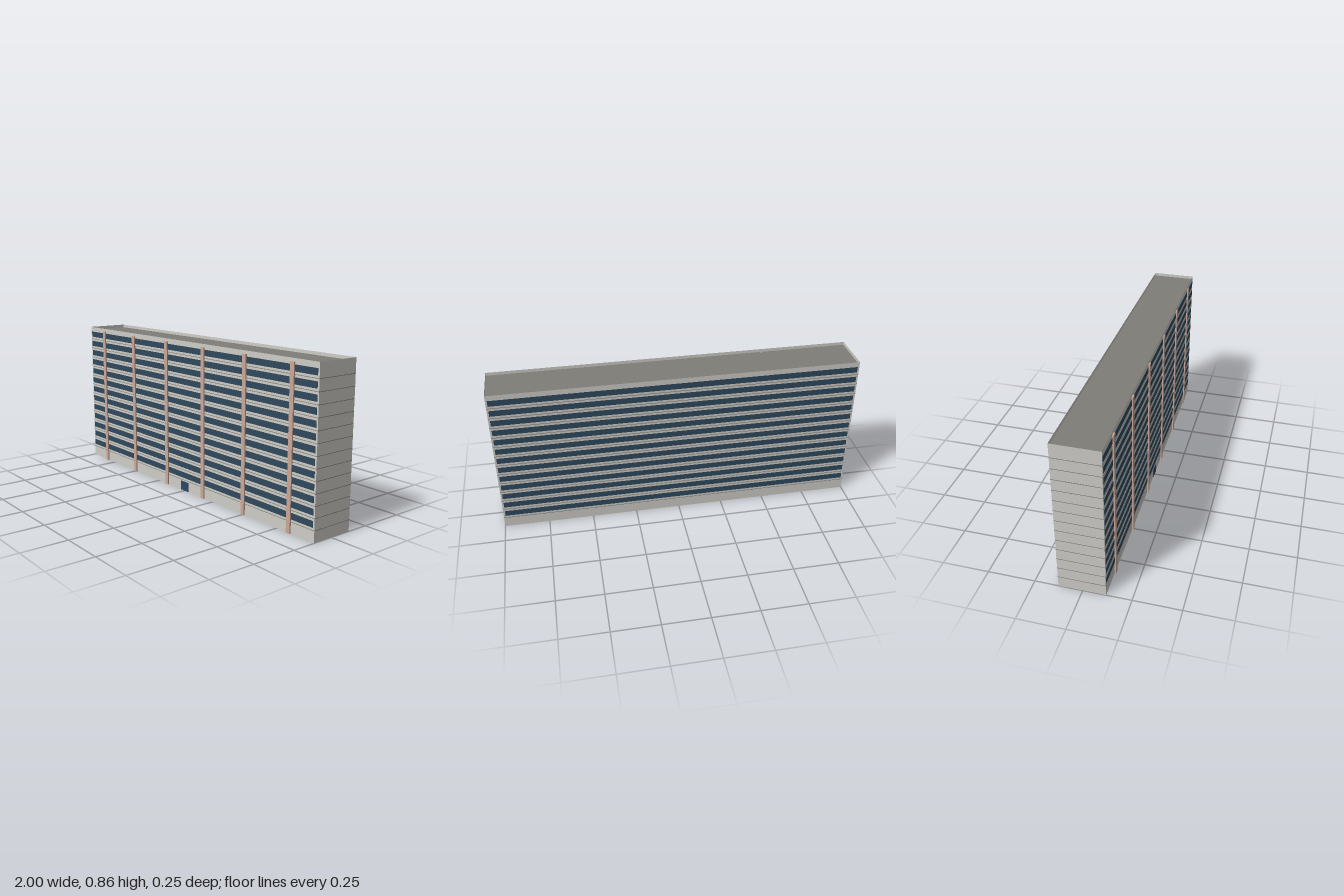
import * as THREE from 'three';

const mat = (name, color, extra = {}) => {
  const m = new THREE.MeshStandardMaterial({ color, ...extra });
  m.name = name;
  return m;
};

export function createModel() {
  const concrete = mat('pale concrete', 0xcfcdc7, { side: THREE.DoubleSide });
  const slabGrey = mat('dark grey slab', 0x807e78);
  const glass = mat('window glass', 0x2f4a5e);
  const doorBlue = mat('door blue', 0x2c4766);
  const stone = mat('pink stone', 0xcca898);

  const W = 2, H = 0.857, FLOOR = 0.06, FLOORS = 13;
  const zFront = 0.1195, zBack = -0.1265;
  const D = zFront - zBack, zMid = (zFront + zBack) / 2;

  const group = new THREE.Group();
  group.name = 'officeBlock';
  const add = (name, geometry, material, x, y, z, parent = group) => {
    const mesh = new THREE.Mesh(geometry, material);
    mesh.name = name;
    mesh.position.set(x, y, z);
    parent.add(mesh);
    return mesh;
  };
  const sub = (name) => {
    const g = new THREE.Group();
    g.name = name;
    group.add(g);
    return g;
  };

  // Outer walls: a thin shell open at the bottom and at the parapet
  const walls = sub('outerWalls');
  const wx = W / 2 - 0.0005, wd = D - 0.001;
  for (const s of [1, -1]) {
    const turn = s > 0 ? 0 : Math.PI;
    add(s > 0 ? 'frontWall' : 'backWall', new THREE.PlaneGeometry(wx * 2, H),
      concrete, 0, H / 2, zMid + s * wd / 2, walls).rotation.y = turn;
    add(s > 0 ? 'leftWall' : 'rightWall', new THREE.PlaneGeometry(wd, H),
      concrete, s * wx, H / 2, zMid, walls).rotation.y = s * Math.PI / 2;
  }

  // Floor slabs showing as thin lines, with window bands above each
  const slabs = sub('floorSlabs');
  const windows = sub('windowBands');
  const slabGeo = new THREE.BoxGeometry(W, 0.003, D);
  const bandGeo = new THREE.BoxGeometry(1.98, 0.033, 0.002);
  for (let i = 1; i <= FLOORS; i++) {
    const y = i * FLOOR;
    add('floorSlab', slabGeo, slabGrey, 0, y + 0.001, zMid, slabs);
    add('frontWindowBand', bandGeo, glass, 0, y + 0.031, zFront, windows);
    add('backWindowBand', bandGeo, glass, 0, y + 0.031, zBack + 0.001, windows);
  }

  // Roof sunk behind the parapet
  add('roof', new THREE.BoxGeometry(wx * 2 - 0.002, 0.004, wd - 0.002), slabGrey, 0, 0.838, zMid);

  // Tall pilasters on the front
  const pilasters = sub('pilasters');
  const pilasterGeo = new THREE.BoxGeometry(0.026, 0.84, 0.014);
  for (let i = 0; i < 6; i++) {
    add('pilaster', pilasterGeo, stone, (i - 2.5) / 3, 0.42, zFront, pilasters);
  }

  // Entrance door
  add('entranceDoor', new THREE.BoxGeometry(0.064, 0.053, 0.004), doorBlue, 0, 0.0265, zFront);

  return group;
}
